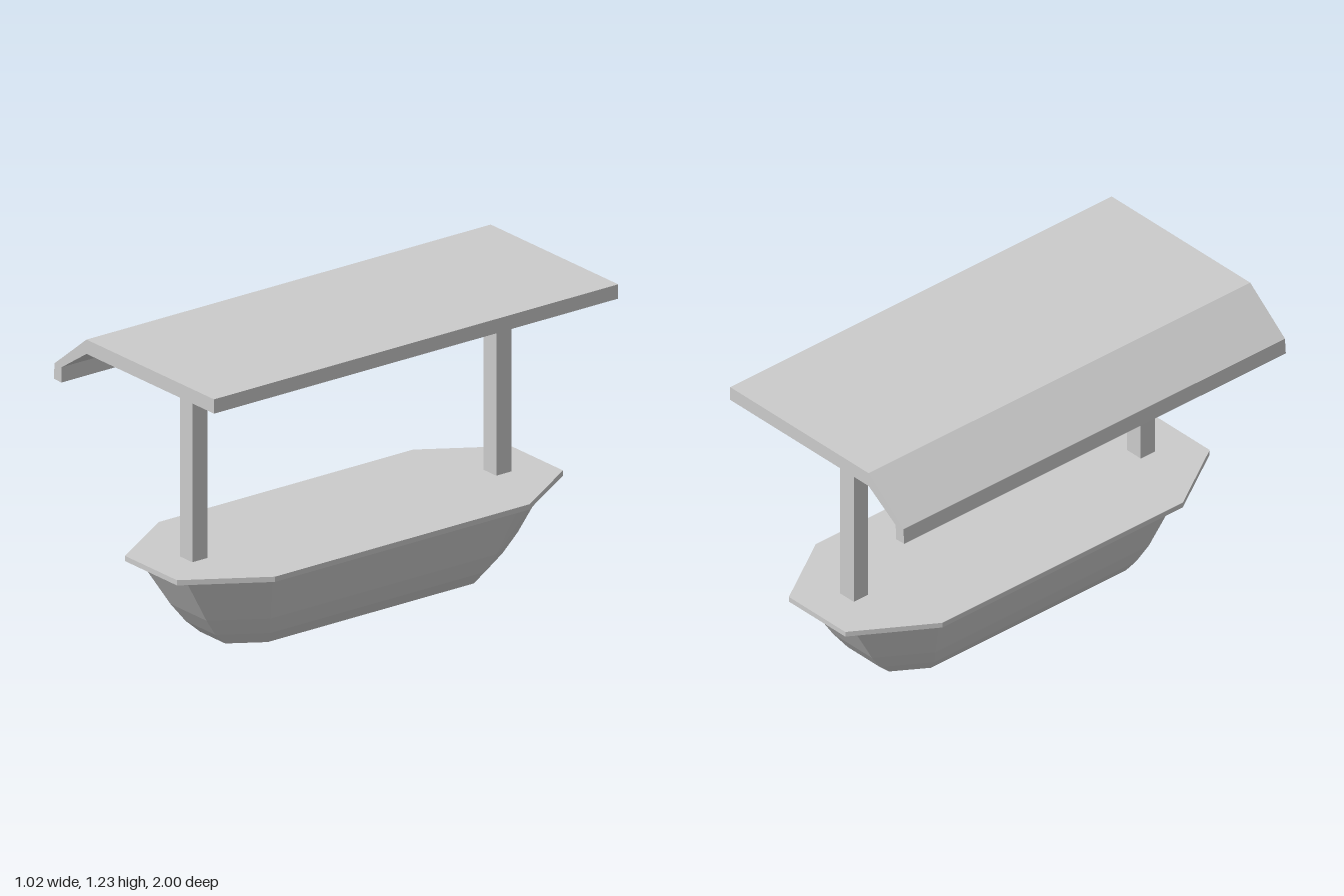
import * as THREE from 'three';

const material = new THREE.MeshStandardMaterial({ color: 0xcccccc, flatShading: true });

// Eight-sided plan: half width w, half length d, end edge half width v, side edge half length c
function ring({ y, w, v, d, c }) {
  return [[w, c], [w, -c], [v, -d], [-v, -d], [-w, -c], [-w, c], [-v, d], [v, d]]
    .map(([x, z]) => [x, y, z]);
}

// Closed solid through a stack of rings, lowest first
function loft(levels) {
  const rings = levels.map(ring);
  const n = rings[0].length;
  const positions = [];
  const tri = (a, b, c) => positions.push(...a, ...b, ...c);
  for (let k = 0; k < rings.length - 1; k++) {
    const lo = rings[k], hi = rings[k + 1];
    for (let i = 0; i < n; i++) {
      const j = (i + 1) % n;
      tri(lo[i], lo[j], hi[j]);
      tri(lo[i], hi[j], hi[i]);
    }
  }
  const bottom = rings[0], top = rings[rings.length - 1];
  for (let i = 1; i < n - 1; i++) {
    tri(top[0], top[i], top[i + 1]);
    tri(bottom[0], bottom[i + 1], bottom[i]);
  }
  const geometry = new THREE.BufferGeometry();
  geometry.setAttribute('position', new THREE.Float32BufferAttribute(positions, 3));
  geometry.computeVertexNormals();
  return geometry;
}

export function createModel() {
  const model = new THREE.Group();
  const add = (name, geometry, x = 0, y = 0, z = 0) => {
    const mesh = new THREE.Mesh(geometry, material);
    mesh.name = name;
    mesh.position.set(x, y, z);
    model.add(mesh);
  };
  const baseX = 0.05;

  // Tapered base, curving in towards the floor
  add('base', loft([
    { y: 0, w: 0.17, v: 0.08, d: 0.65, c: 0.51 },
    { y: 0.055, w: 0.21, v: 0.095, d: 0.71, c: 0.53 },
    { y: 0.135, w: 0.25, v: 0.115, d: 0.77, c: 0.56 },
    { y: 0.345, w: 0.33, v: 0.15, d: 0.9, c: 0.61 },
  ]), baseX);

  // Overhanging flat counter
  const rim = { w: 0.37, v: 0.165, d: 0.955, c: 0.63 };
  add('counter', loft([{ y: 0.343, ...rim }, { y: 0.365, ...rim }]), baseX);

  // Roof posts
  for (const side of [1, -1]) {
    add(side > 0 ? 'frontPost' : 'backPost',
      new THREE.BoxGeometry(0.08, 0.81, 0.075), 0.06, 0.762, side * 0.752);
  }

  // Canopy: flat slab, sloping eave and short hanging lip
  const profile = new THREE.Shape([
    [0.508, 1.165], [0.508, 1.225], [-0.302, 1.225], [-0.505, 1.063],
    [-0.51, 0.997], [-0.462, 0.995], [-0.46, 1.06], [-0.302, 1.165],
  ].map(([x, y]) => new THREE.Vector2(x, y)));
  add('canopy', new THREE.ExtrudeGeometry(profile, { depth: 2, bevelEnabled: false }), 0, 0, -1);

  return model;
}
